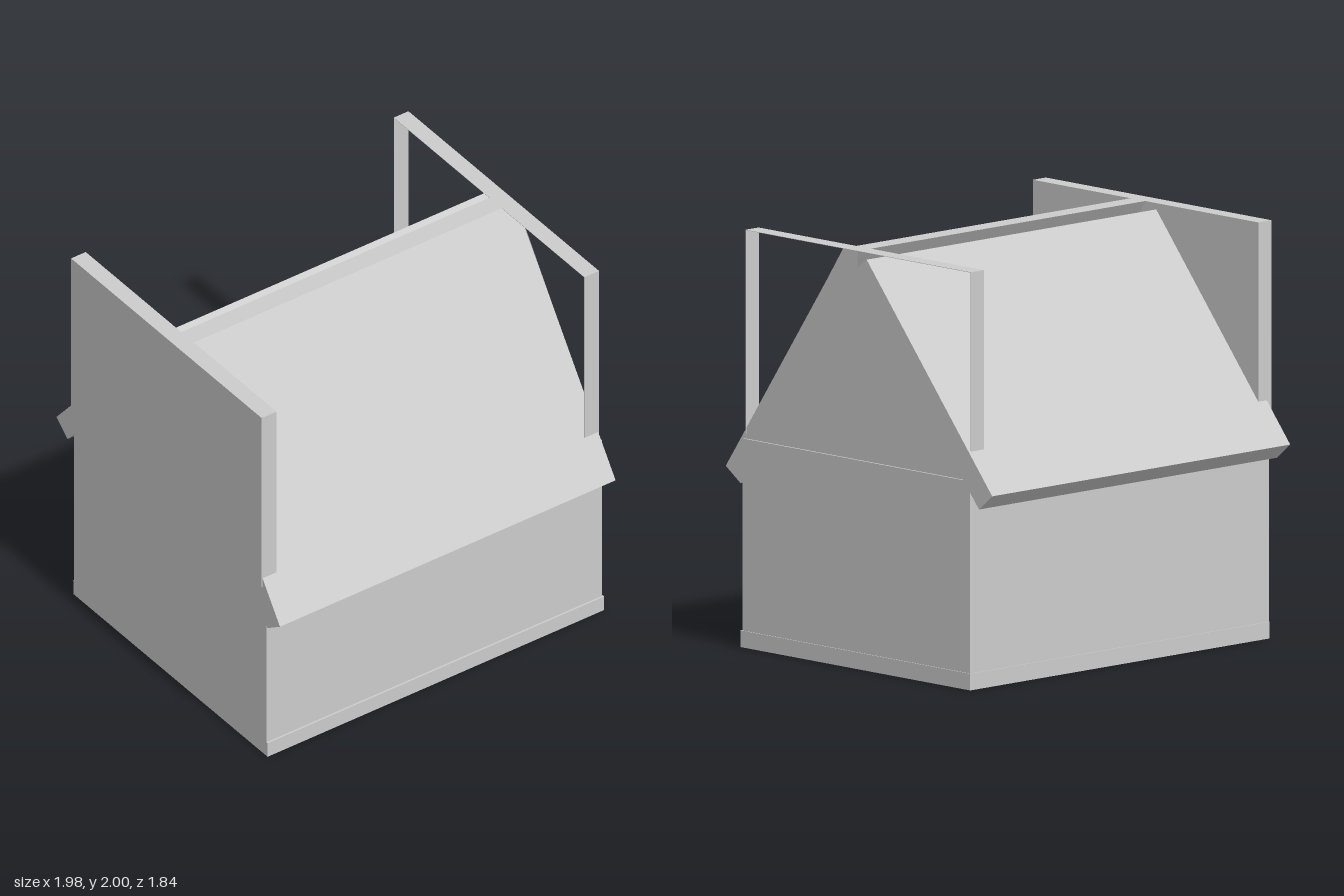
import * as THREE from 'three';

const material = new THREE.MeshStandardMaterial({ color: 0xcccccc, flatShading: true });
const sheetMaterial = new THREE.MeshStandardMaterial({ color: 0xcccccc, flatShading: true, side: THREE.DoubleSide });

export function createModel() {
  const model = new THREE.Group();

  const add = (name, geometry, mat = material) => {
    const mesh = new THREE.Mesh(geometry, mat);
    mesh.name = name;
    model.add(mesh);
  };

  // Box given by its limits on each axis
  const box = (name, [x0, x1], [y0, y1], [z0, z1], mat) => {
    const g = new THREE.BoxGeometry(x1 - x0, y1 - y0, z1 - z0);
    g.translate((x0 + x1) / 2, (y0 + y1) / 2, (z0 + z1) / 2);
    add(name, g, mat);
  };

  // Outline of [z, y] points, swept along x
  const outline = (points) => new THREE.Shape(points.map(([z, y]) => new THREE.Vector2(-z, y)));
  const prism = (name, points, x0, x1) => {
    const g = new THREE.ExtrudeGeometry(outline(points), { depth: x1 - x0, bevelEnabled: false });
    g.rotateY(Math.PI / 2);
    g.translate(x0, 0, 0);
    add(name, g);
  };

  // Walls and the slightly wider plinth
  box('walls', [-0.97, 0.98], [0, 1], [-0.76, 0.79]);
  box('plinth', [-0.97, 0.985], [0, 0.08], [-0.765, 0.8]);

  // Roof slabs; the front one is cut level at the ridge
  prism('frontRoof', [[0.92, 0.85], [0.115, 2], [0.015, 2], [0.82, 0.78]], -0.985, 0.965);
  prism('backRoof', [[-0.06, 1.97], [-0.915, 0.95], [-0.825, 0.875], [0.035, 1.9]], -0.96, 0.985);

  // Solid end panel on the right
  box('endPanel', [-0.99, -0.905], [1, 2], [-0.755, 0.78]);

  // Open frame of thin strips on the left
  const frameX = [0.885, 0.97];
  const thin = 0.002;
  box('frameTop', frameX, [2 - thin, 2], [-0.755, 0.78]);
  box('frameBottom', frameX, [1, 1.005], [-0.755, 0.78]);
  box('frameFrontPost', frameX, [1, 2], [0.78 - thin, 0.78]);
  box('frameBackPost', frameX, [1, 2], [-0.755, -0.755 + thin]);

  // Gable sheet closing the left end
  const gable = new THREE.ShapeGeometry(outline([[0.79, 1], [0.115, 2], [0.015, 2], [0.02, 1.91], [-0.74, 1]]));
  gable.rotateY(Math.PI / 2);
  gable.translate(0.97, 0, 0);
  add('gable', gable, sheetMaterial);

  return model;
}
